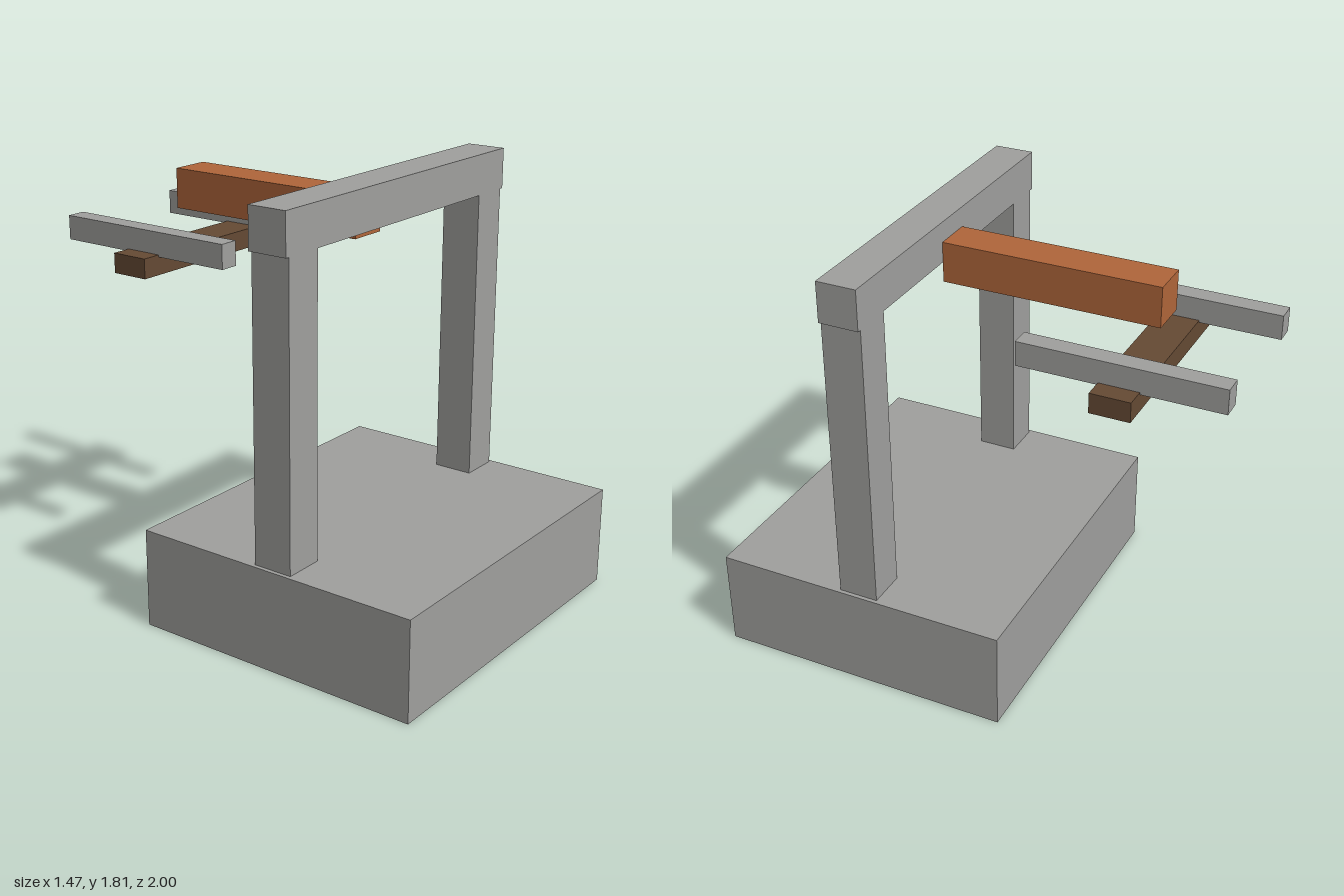
import * as THREE from 'three';

export function createModel() {
  const model = new THREE.Group();
  model.name = 'gantryFrame';

  const mat = (name, color) => {
    const m = new THREE.MeshStandardMaterial({ color });
    m.name = name;
    return m;
  };
  const grey = mat('stone grey', 0xa0a09e);
  const orange = mat('rust orange', 0xb0663a);
  const brown = mat('dark brown', 0x654a34);

  // Box given by its [min, max] range on each axis
  const box = (name, material, [x0, x1], [y0, y1], [z0, z1]) => {
    const mesh = new THREE.Mesh(new THREE.BoxGeometry(x1 - x0, y1 - y0, z1 - z0), material);
    mesh.position.set((x0 + x1) / 2, (y0 + y1) / 2, (z0 + z1) / 2);
    mesh.name = name;
    model.add(mesh);
  };

  // Base block and the lintel across the posts
  const frameZ = [0.284, 0.452];
  box('base', grey, [-0.735, 0.735], [0, 0.42], [-0.263, 1]);
  box('lintel', grey, [-0.735, 0.735], [1.645, 1.814], frameZ);

  // Mirrored posts and rails
  for (const [side, s] of [['left', 1], ['right', -1]]) {
    const span = (a, b) => (s > 0 ? [a, b] : [-b, -a]);
    box(side + 'Post', grey, span(0.55, 0.718), [0.42, 1.645], frameZ);
    box(side + 'Rail', grey, span(0.273, 0.356), [1.425, 1.528], [-1, -0.16]);
  }

  // Arm reaching back from the lintel, and the crossbar under the rails
  box('arm', orange, [-0.084, 0.084], [1.561, 1.73], [-0.632, 0.284]);
  box('crossbar', brown, [-0.44, 0.44], [1.35, 1.434], [-0.663, -0.497]);

  return model;
}
